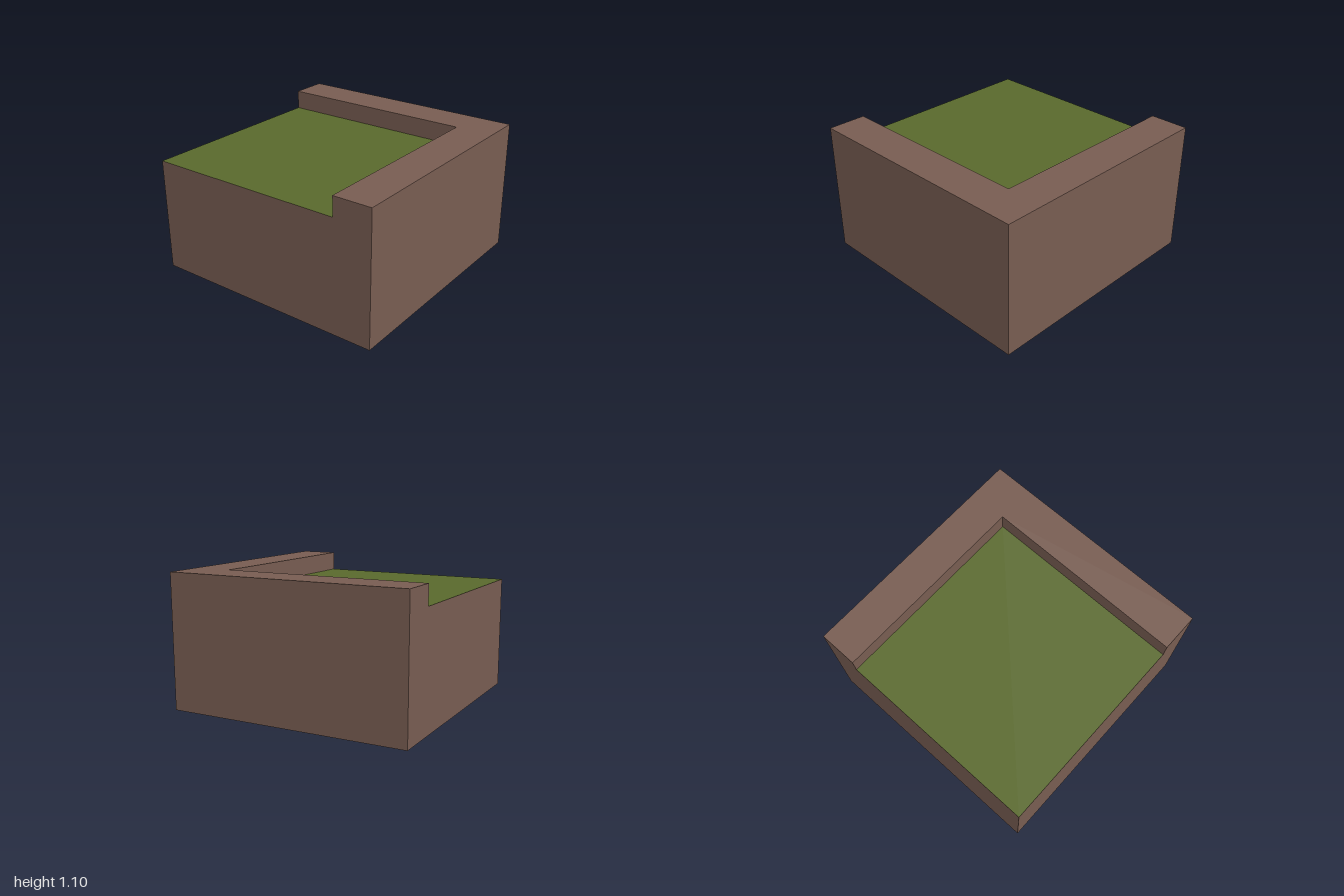
import * as THREE from 'three';

export function createModel() {
  const earth = new THREE.MeshStandardMaterial({ name: 'earthBrown', color: 0x775c51 });
  const grass = new THREE.MeshStandardMaterial({ name: 'grassGreen', color: 0x59692c });

  const floorY = 0.94, topY = 1.1, inner = 0.68;
  const group = new THREE.Group();
  group.name = 'cornerTerrainBlock';

  // Solid earth block whose top face is grass
  const block = new THREE.Mesh(
    new THREE.BoxGeometry(2, floorY, 2),
    [earth, earth, grass, earth, earth, earth]
  );
  block.name = 'earthBlock';
  block.position.y = floorY / 2;
  group.add(block);

  // L-shaped raised bank along the back and the left side (shape y becomes -z)
  const outline = new THREE.Shape([
    [-1, 1], [-1, inner], [inner, inner], [inner, -1], [1, -1], [1, 1],
  ].map(([x, y]) => new THREE.Vector2(x, y)));
  const bankGeometry = new THREE.ExtrudeGeometry(outline, { depth: topY - floorY, bevelEnabled: false });
  bankGeometry.rotateX(-Math.PI / 2);
  const bank = new THREE.Mesh(bankGeometry, earth);
  bank.name = 'raisedBank';
  bank.position.y = floorY;
  group.add(bank);

  return group;
}
